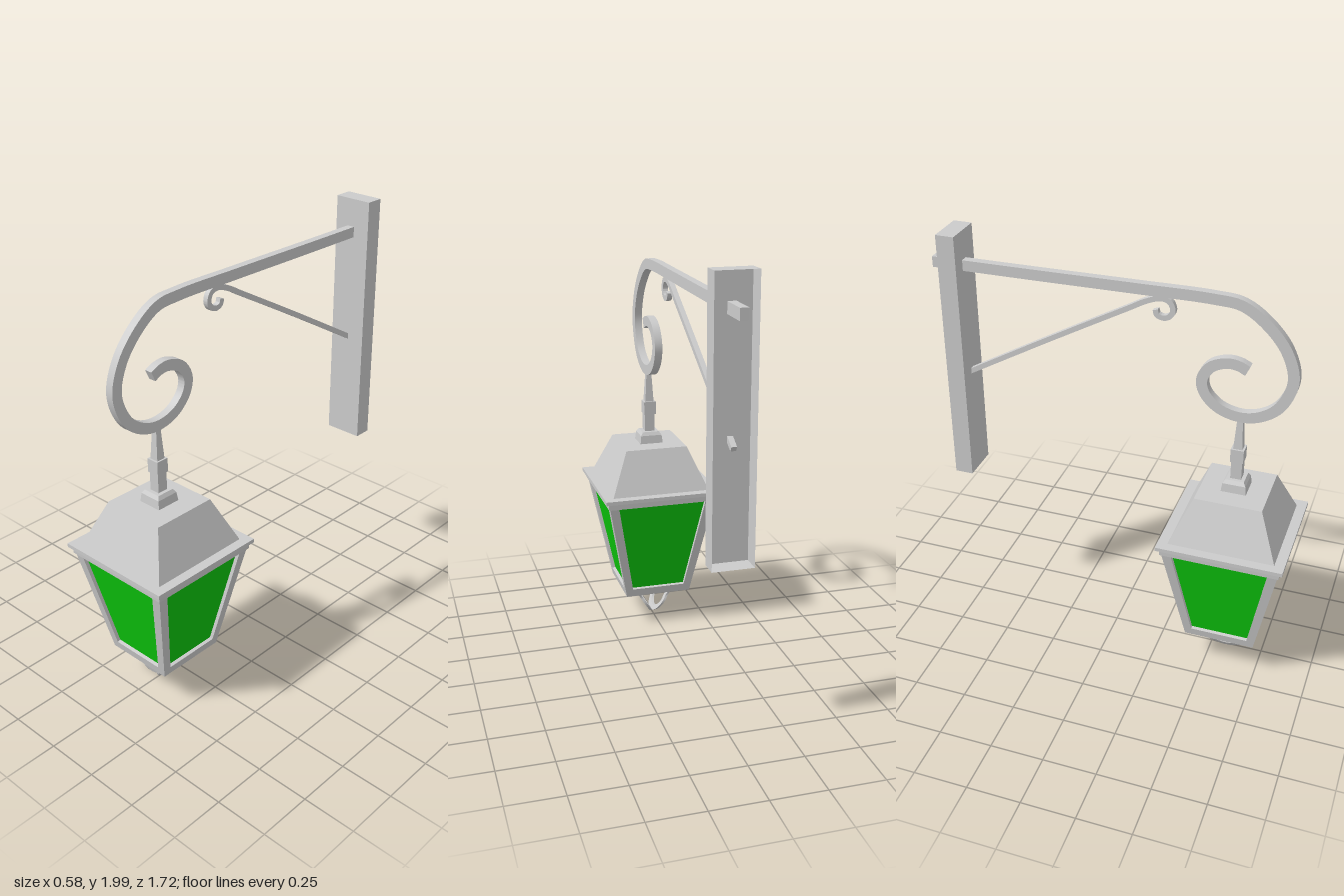
import * as THREE from 'three';
import { toCreasedNormals } from 'three/addons/utils/BufferGeometryUtils.js';

const LZ = 0.57; // lantern axis

export function createModel() {
  const root = new THREE.Group();
  const metal = new THREE.MeshStandardMaterial({ color: 0xcccccc, flatShading: true, side: THREE.DoubleSide });
  const iron = new THREE.MeshStandardMaterial({ color: 0xcccccc });
  const green = new THREE.MeshStandardMaterial({ color: 0x0cc80c, flatShading: true });

  const add = (name, geometry, material, parent = root) => {
    const mesh = new THREE.Mesh(geometry, material);
    mesh.name = name;
    parent.add(mesh);
    return mesh;
  };

  // Square tapered block from half-width h0 at y0 to h1 at y1
  const taper = (h0, y0, h1, y1) =>
    new THREE.CylinderGeometry(h1 * Math.SQRT2, h0 * Math.SQRT2, y1 - y0, 4)
      .rotateY(Math.PI / 4).translate(0, (y0 + y1) / 2, 0);

  // Flat bar following a curve of [z, y] points, centred on x = 0
  const bar = (points, width, depth, samples) => {
    const curve = new THREE.CatmullRomCurve3(points.map(([z, y]) => new THREE.Vector3(z, y, 0)));
    const a = [], b = [];
    for (let i = 0; i <= samples; i++) {
      const p = curve.getPoint(i / samples), t = curve.getTangent(i / samples);
      a.push(new THREE.Vector2(p.x - t.y * width / 2, p.y + t.x * width / 2));
      b.unshift(new THREE.Vector2(p.x + t.y * width / 2, p.y - t.x * width / 2));
    }
    const g = new THREE.ExtrudeGeometry(new THREE.Shape([...a, ...b]), { depth, bevelEnabled: false });
    g.translate(0, 0, -depth / 2).rotateY(-Math.PI / 2);
    return toCreasedNormals(g, 0.6);
  };

  // Wall plate: a shallow tray, open at the back
  const plate = new THREE.Group();
  plate.name = 'wallPlate';
  plate.position.set(0.007, 1.395, -0.756);
  root.add(plate);
  const [pw, ph, pd] = [0.184, 1.21, 0.086];
  add('plateFront', new THREE.PlaneGeometry(pw, ph).translate(0, 0, pd / 2), metal, plate);
  for (const s of [-1, 1]) {
    add('plateSide', new THREE.PlaneGeometry(pd, ph).rotateY(s * Math.PI / 2).translate(s * pw / 2, 0, 0), metal, plate);
    add('plateEnd', new THREE.PlaneGeometry(pw, pd).rotateX(-s * Math.PI / 2).translate(0, s * ph / 2, 0), metal, plate);
  }

  // Arm with its large scroll
  add('scrollArm', bar([
    [-0.86, 1.843], [-0.4, 1.847], [0.1, 1.853], [0.43, 1.855], [0.55, 1.842], [0.66, 1.77],
    [0.75, 1.66], [0.787, 1.53], [0.74, 1.4], [0.66, 1.337], [0.57, 1.318], [0.47, 1.345],
    [0.405, 1.41], [0.392, 1.475], [0.43, 1.54], [0.5, 1.569], [0.55, 1.565], [0.59, 1.547],
  ], 0.05, 0.037, 140), iron);

  // Diagonal brace with a small curl
  add('brace', bar([
    [-0.76, 1.29], [-0.3, 1.555], [0.05, 1.752], [0.14, 1.802], [0.2, 1.82], [0.237, 1.808],
    [0.252, 1.77], [0.237, 1.742], [0.208, 1.732], [0.182, 1.742], [0.174, 1.765],
  ], 0.024, 0.024, 90), iron);

  const lantern = new THREE.Group();
  lantern.name = 'lantern';
  lantern.position.z = LZ;
  root.add(lantern);

  // Stacked square parts: half-width and height at bottom, then at top
  for (const [name, ...size] of [
    ['hangerTip', 0.021, 1.155, 0.012, 1.31],
    ['hangerCollar', 0.03, 1.09, 0.03, 1.155],
    ['hangerStem', 0.025, 0.99, 0.025, 1.09],
    ['roofCapTop', 0.053, 0.985, 0.042, 1.002],
    ['roofCap', 0.058, 0.945, 0.053, 0.985],
    ['roof', 0.245, 0.735, 0.155, 0.945],
    ['cornice', 0.291, 0.717, 0.291, 0.735],
    ['topBand', 0.274, 0.685, 0.276, 0.717],
    ['floor', 0.164, 0.167, 0.167, 0.185],
  ]) add(name, taper(...size), metal, lantern);

  // Green panes, set slightly behind the frames
  add('glass', taper(0.152, 0.18, 0.251, 0.69), green, lantern);

  // Sloping window frame for each of the four sides
  const [b, t, y0, y1] = [0.166, 0.273, 0.165, 0.715];
  const slope = Math.atan2(t - b, y1 - y0);
  const up = y => (y - y0) / Math.cos(slope);
  const trapezoid = (w0, h0, w1, h1) =>
    [[-w0, h0], [w0, h0], [w1, h1], [-w1, h1]].map(([x, y]) => new THREE.Vector2(x, y));
  const shape = new THREE.Shape(trapezoid(b, 0, t, up(y1)));
  shape.holes.push(new THREE.Path(trapezoid(0.135, up(0.205), 0.222, up(0.685)).reverse()));
  const frame = new THREE.ExtrudeGeometry(shape, { depth: 0.018, bevelEnabled: false });
  frame.translate(0, 0, -0.018).rotateX(slope).translate(0, y0, b);
  for (let i = 0; i < 4; i++) add('windowFrame', frame, metal, lantern).rotation.y = i * Math.PI / 2;

  // Two curled loops under the lantern, leaning together at the bottom
  const half = [[0.112, 0.172], [0.083, 0.145], [0.074, 0.115], [0.082, 0.075], [0.057, 0.038]];
  const path = [...half, [0, 0.018], ...half.map(([z, y]) => [-z, y]).reverse()];
  for (const side of [-1, 1]) {
    const loop = bar(path, 0.025, 0.013, 48);
    const p = loop.attributes.position;
    for (let i = 0; i < p.count; i++) p.setX(i, p.getX(i) + side * (0.002 + 0.62 * (p.getY(i) - 0.006)));
    add('bottomLoop', toCreasedNormals(loop, 0.6), iron, lantern);
  }

  return root;
}
